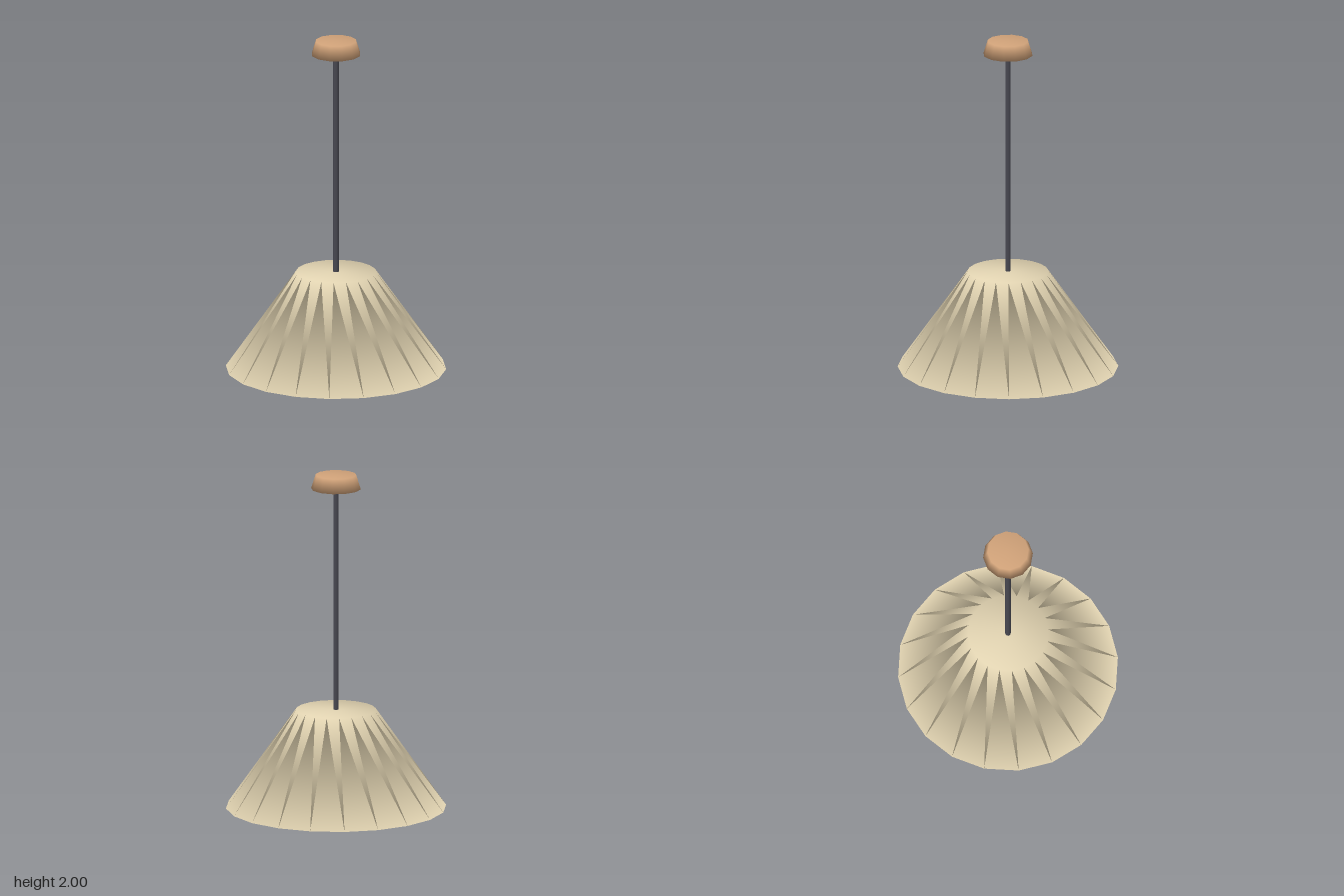
import * as THREE from 'three';

const shadeCream = new THREE.MeshStandardMaterial({ color: 0xe0d2b0 });
const canopyCopper = new THREE.MeshStandardMaterial({ color: 0xcfa178 });
const rodCharcoal = new THREE.MeshStandardMaterial({ color: 0x474750 });
shadeCream.name = 'shadeCream';
canopyCopper.name = 'canopyCopper';
rodCharcoal.name = 'rodCharcoal';

// Closed frustum, smoothed over its rims: each rim normal is the
// area-weighted mean of the cap and the two neighbouring side panels.
function smoothFrustum(rBottom, rTop, yBottom, yTop, sides) {
  const profile = [[0, yBottom], [rBottom, yBottom], [rTop, yTop], [0, yTop]]
    .map(([r, y]) => new THREE.Vector2(r, y));
  const geometry = new THREE.LatheGeometry(profile, sides);

  const height = yTop - yBottom;
  const slant = Math.hypot(rBottom - rTop, height);
  const panels = 2 * Math.sin(Math.PI / sides) * (rBottom + rTop) * slant;
  const capArea = (r) => 0.5 * sides * r * r * Math.sin(2 * Math.PI / sides);
  const out = panels * height / slant;
  const up = panels * (rBottom - rTop) / slant;
  const normals = [
    new THREE.Vector2(0, -1),
    new THREE.Vector2(out, up - capArea(rBottom)).normalize(),
    new THREE.Vector2(out, up + capArea(rTop)).normalize(),
    new THREE.Vector2(0, 1),
  ];

  const attribute = geometry.attributes.normal;
  for (let i = 0; i < attribute.count; i++) {
    const angle = Math.floor(i / 4) / sides * Math.PI * 2;
    const n = normals[i % 4];
    attribute.setXYZ(i, n.x * Math.sin(angle), n.y, n.x * Math.cos(angle));
  }
  return geometry;
}

export function createModel() {
  const model = new THREE.Group();
  model.name = 'pendantLamp';

  const add = (name, geometry, material, y = 0) => {
    const mesh = new THREE.Mesh(geometry, material);
    mesh.name = name;
    mesh.position.y = y;
    model.add(mesh);
  };

  // Ceiling mount
  add('canopy', smoothFrustum(0.14, 0.115, 1.92, 2, 12), canopyCopper);

  // Hanging rod
  add('rod', new THREE.CylinderGeometry(0.016, 0.016, 1.3, 8), rodCharcoal, 1.285);

  // Conical shade
  add('shade', smoothFrustum(0.618, 0.225, 0.09, 0.65, 20), shadeCream);

  // Bulb showing below the shade
  add('bulb', new THREE.SphereGeometry(0.139, 16, 12), shadeCream, 0.139);

  return model;
}
